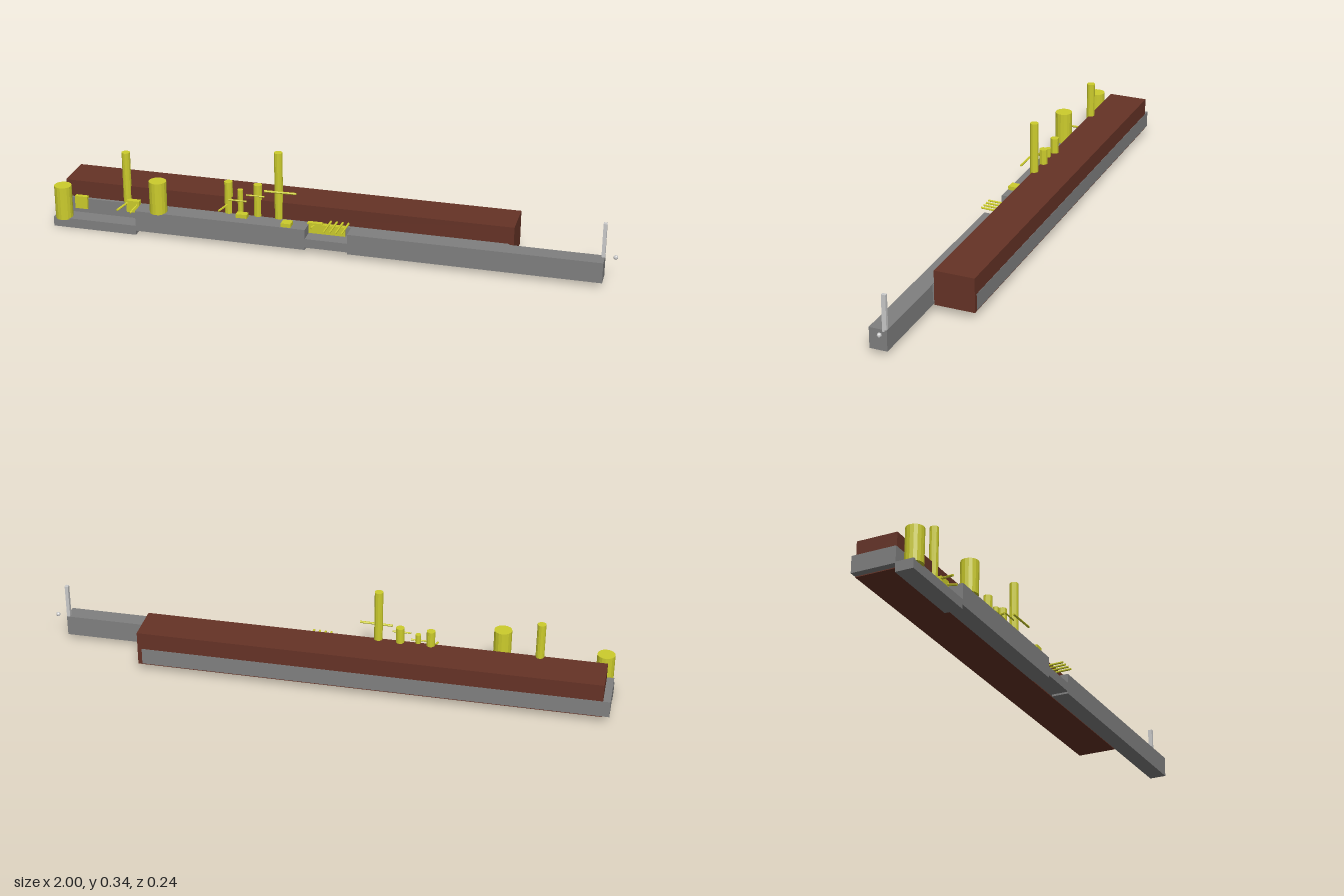
import * as THREE from 'three';

const material = (color) => new THREE.MeshStandardMaterial({ color, flatShading: true });

export function createModel() {
  const model = new THREE.Group();
  const grey = material(0x808080);
  const pale = material(0xcccccc);
  const brown = material(0x663326);
  const yellow = material(0xcccc2c);

  const add = (name, geometry, mat) => {
    const mesh = new THREE.Mesh(geometry, mat);
    mesh.name = name;
    model.add(mesh);
    return mesh;
  };
  // Box given by its limits on each axis
  const box = (name, mat, x0, x1, y0, y1, z0, z1) =>
    add(name, new THREE.BoxGeometry(x1 - x0, y1 - y0, z1 - z0), mat)
      .position.set((x0 + x1) / 2, (y0 + y1) / 2, (z0 + z1) / 2);
  // Upright cylinder
  const post = (name, x, z, r, y0, y1, sides = 12) =>
    add(name, new THREE.CylinderGeometry(r, r, y1 - y0, sides), yellow)
      .position.set(x, (y0 + y1) / 2, z);
  // Thin rod between two points
  const rod = (name, a, b, r) => {
    const from = new THREE.Vector3(...a), to = new THREE.Vector3(...b);
    const dir = to.clone().sub(from);
    const mesh = add(name, new THREE.CylinderGeometry(r, r, dir.length(), 6), yellow);
    mesh.position.copy(from).add(to).multiplyScalar(0.5);
    mesh.quaternion.setFromUnitVectors(new THREE.Vector3(0, 1, 0), dir.normalize());
  };

  // Long body and the grey base slab it sits in
  box('body', brown, -0.975, 0.645, 0.028, 0.152, -0.118, 0.025);
  box('baseSlab', grey, -1, 0.63, 0.031, 0.09, -0.119, 0.037);

  // Front beam in four sections
  box('lowStep', grey, -1, -0.69, 0, 0.035, 0.036, 0.099);
  box('middleBeam', grey, -0.69, -0.07, 0.016, 0.092, 0.037, 0.099);
  box('recessedBeam', grey, -0.07, 0.08, 0.025, 0.058, 0.037, 0.099);
  box('longBeam', grey, 0.08, 0.957, 0.018, 0.092, 0.037, 0.099);

  // End post and bead
  box('endPost', pale, 0.945, 0.957, 0.085, 0.214, 0.038, 0.053);
  add('bead', new THREE.SphereGeometry(0.008, 8, 6), pale).position.set(0.992, 0.093, 0.045);

  // Large drums
  post('endDrum', -0.965, 0.081, 0.031, 0.031, 0.154, 16);
  post('upperDrum', -0.609, 0.078, 0.031, 0.09, 0.208, 16);

  // Slim posts: x, z, radius, top
  [
    [-0.744, 0.022, 0.015, 0.28],
    [-0.368, 0.018, 0.015, 0.208],
    [-0.323, 0.025, 0.01, 0.185],
    [-0.261, 0.018, 0.015, 0.208],
    [-0.184, 0.022, 0.015, 0.338],
  ].forEach(([x, z, r, top]) => post('slimPost', x, z, r, 0.08, top));

  // Stepped cross rods in front of the posts
  rod('crossRod', [-0.23, 0.197, 0.044], [-0.115, 0.199, 0.044], 0.004);
  rod('crossRod', [-0.295, 0.175, 0.044], [-0.23, 0.175, 0.044], 0.003);
  rod('crossRod', [-0.36, 0.15, 0.044], [-0.295, 0.15, 0.044], 0.003);

  // Control boxes
  box('endBox', yellow, -0.937, -0.89, 0.053, 0.1, 0.03, 0.046);
  box('stepBox', yellow, -0.74, -0.692, 0.062, 0.106, 0.03, 0.05);
  box('smallBox', yellow, -0.33, -0.29, 0.09, 0.106, 0.037, 0.062);
  box('smallBox', yellow, -0.157, -0.122, 0.09, 0.106, 0.062, 0.096);
  box('recessBox', yellow, -0.075, -0.022, 0.058, 0.096, 0.03, 0.047);
  box('recessPanel', yellow, -0.022, 0.06, 0.058, 0.092, 0.03, 0.047);

  // Levers
  rod('stepLever', [-0.73, 0.1, 0.03], [-0.757, 0.088, 0.1], 0.004);
  rod('stepLever', [-0.7, 0.092, 0.045], [-0.712, 0.078, 0.09], 0.004);
  rod('postLever', [-0.368, 0.124, 0.025], [-0.383, 0.124, 0.088], 0.004);
  rod('recessLever', [-0.05, 0.088, 0.04], [-0.057, 0.085, 0.065], 0.004);
  for (let i = 0; i < 4; i++) {
    const x = 0.005 + i * 0.021;
    rod('recessLever', [x, 0.1, 0.025], [x - 0.004, 0.1, 0.118], 0.004);
  }

  return model;
}
